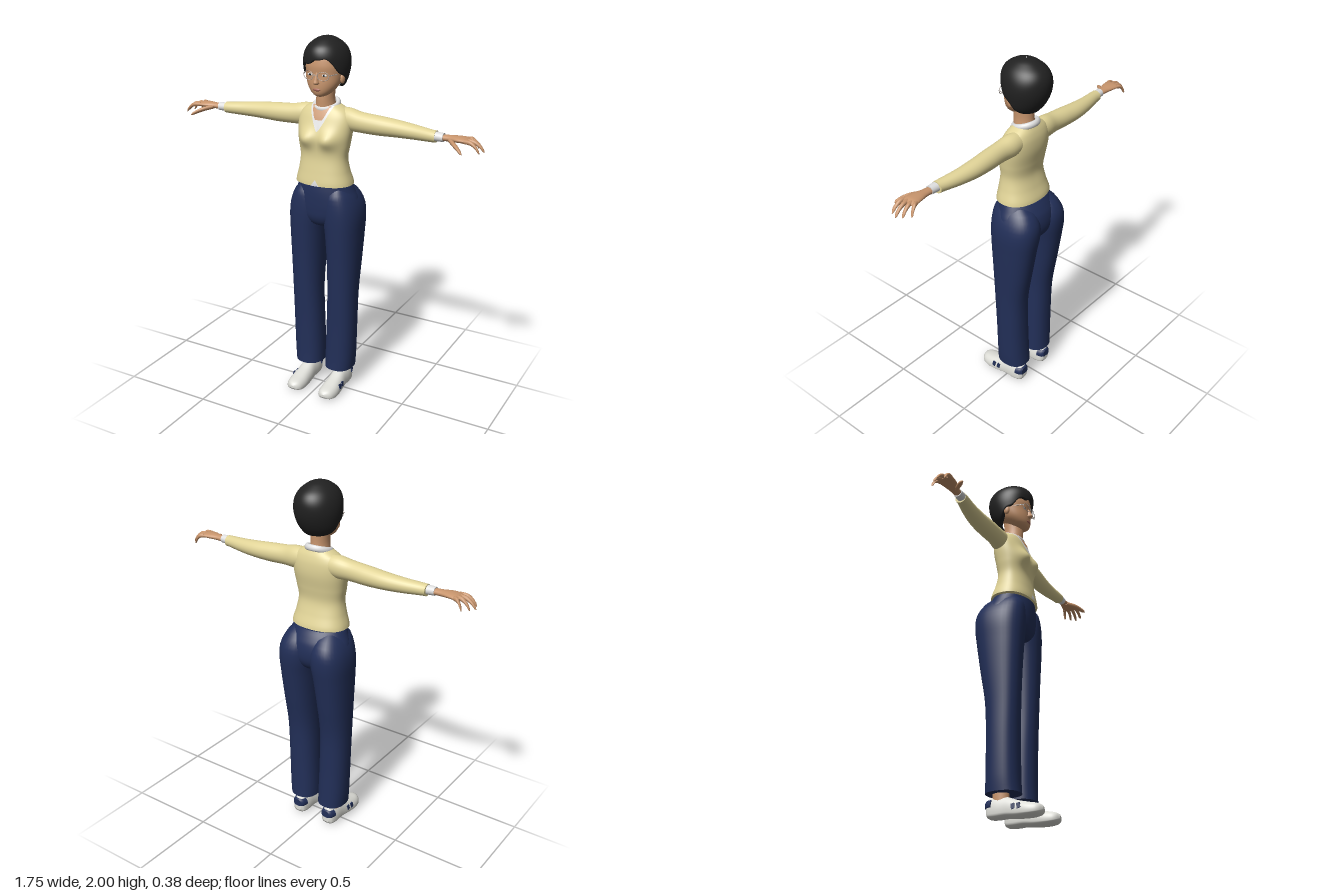
import * as THREE from 'three';

const mat = (name, color) => Object.assign(new THREE.MeshStandardMaterial({ color }), { name });

// Smooth interpolation of rows keyed by their first column
function sample(rows, s) {
  let i = 0;
  while (i < rows.length - 2 && s > rows[i + 1][0]) i++;
  const a = rows[i], b = rows[i + 1], p = rows[i - 1] || a, q = rows[i + 2] || b;
  const h = b[0] - a[0], t = (s - a[0]) / h, t2 = t * t, t3 = t2 * t;
  return a.map((v, k) => {
    if (k === 0) return s;
    const m0 = (b[k] - p[k]) / (b[0] - p[0]), m1 = (q[k] - v) / (q[0] - a[0]);
    return (2 * t3 - 3 * t2 + 1) * v + (t3 - 2 * t2 + t) * h * m0 + (3 * t2 - 2 * t3) * b[k] + (t3 - t2) * h * m1;
  });
}

// Surface from a grid of points; optional ring closing and end caps
function grid(nu, nv, f, closed, caps) {
  const pos = [], idx = [], w = closed ? nv : nv + 1;
  for (let i = 0; i <= nu; i++) for (let j = 0; j < w; j++) pos.push(...f(i / nu, j / nv));
  for (let i = 0; i < nu; i++) for (let j = 0; j < nv; j++) {
    const k = (j + 1) % w, a = i * w + j, b = i * w + k;
    idx.push(a, b, b + w, a, b + w, a + w);
  }
  if (caps) for (const end of [0, 1]) {
    const base = pos.length / 3, c = [0, 0, 0];
    for (let j = 0; j < nv; j++) {
      const p = f(end, j / nv);
      pos.push(...p);
      p.forEach((v, k) => { c[k] += v / nv; });
    }
    pos.push(...c);
    for (let j = 0; j < nv; j++) {
      const a = base + j, b = base + (j + 1) % nv;
      idx.push(base + nv, ...(end ? [a, b] : [b, a]));
    }
  }
  const g = new THREE.BufferGeometry();
  g.setAttribute('position', new THREE.Float32BufferAttribute(pos, 3));
  g.setIndex(idx);
  g.computeVertexNormals();
  return g;
}

const pw = (v, p) => Math.sign(v) * Math.abs(v) ** p;
// Ring rules: upright [y, x0, x1, zFront, zBack], sideways [x, y, z, ry, rz], shoe [z, cx, rx, yLow, yHigh]
const upright = (r, a, p = 1) => [(r[1] + r[2]) / 2 + (r[2] - r[1]) / 2 * pw(Math.sin(a), p), r[0],
  (r[3] + r[4]) / 2 + (r[3] - r[4]) / 2 * pw(Math.cos(a), p)];
const cloth = (r, a) => upright(r, a, 0.87);
const sideways = (r, a) => [r[0], r[1] + r[3] * Math.cos(a), r[2] + r[4] * Math.sin(a)];
const lengthwise = (r, a) => {
  const c = Math.cos(a), mid = r[3] + (r[4] - r[3]) * 0.35;
  return [r[1] - r[2] * pw(Math.sin(a), 0.8), c > 0 ? mid + (r[4] - mid) * c : mid + (mid - r[3]) * pw(c, 0.5), r[0]];
};
const loft = (rows, rule, nu = 24, nv = 32) => grid(nu, nv, (u, v) =>
  rule(sample(rows, rows[0][0] + u * (rows[rows.length - 1][0] - rows[0][0])), v * Math.PI * 2), true, true);
const sym = rows => rows.map(([y, x, f, b]) => [y, -x, x, f, b]);

function mirrored(geo) {
  const g = geo.clone().scale(-1, 1, 1), ix = g.index.array;
  for (let i = 0; i < ix.length; i += 3) [ix[i], ix[i + 1]] = [ix[i + 1], ix[i]];
  g.computeVertexNormals();
  return g;
}

export function createModel() {
  const skin = mat('skin', 0xc8956d), knit = mat('cardigan yellow', 0xe0d397), navy = mat('navy', 0x222f58);
  const black = mat('hair black', 0x212121), white = mat('shirt white', 0xe0e0e0), shoeWhite = mat('shoe white', 0xdedeD8);
  const wire = mat('glasses grey', 0xb4aca6), lipColor = mat('lip brown', 0xa8685a);
  const root = new THREE.Group();
  const add = (name, geo, m) => {
    const mesh = new THREE.Mesh(geo, m);
    mesh.name = name;
    root.add(mesh);
    return mesh;
  };
  const pair = (name, geo, m) => { add(name + 'Left', geo, m); add(name + 'Right', mirrored(geo), m); };
  const blob = (x, y, z, sx, sy, sz) => new THREE.SphereGeometry(1, 20, 14).scale(sx, sy, sz).translate(x, y, z);

  // Cardigan body with a rounded bust
  const torsoRows = sym([[1.228, 0.16, 0.095, -0.13], [1.245, 0.157, 0.094, -0.127], [1.3, 0.142, 0.085, -0.108],
    [1.37, 0.132, 0.075, -0.092], [1.44, 0.142, 0.074, -0.1], [1.52, 0.152, 0.068, -0.113], [1.58, 0.15, 0.05, -0.112],
    [1.62, 0.125, 0.032, -0.102], [1.648, 0.075, 0.015, -0.088]]);
  const torso = (r, a) => {
    const p = cloth(r, a);
    if (Math.cos(a) > 0) p[2] += 0.036 * Math.cos(a) ** 0.5 *
      Math.exp(-(((Math.abs(p[0]) - 0.065) / 0.055) ** 2) - ((p[1] - 1.475) / 0.045) ** 2);
    return p;
  };
  add('cardigan', loft(torsoRows, torso, 48, 64), knit);

  // Thin panels lying on the front of the cardigan
  const panel = (name, y0, y1, width, off, m) => add(name, grid(14, 10, (u, v) => {
    const y = y0 + (y1 - y0) * u, r = sample(torsoRows, y);
    const s = Math.min(0.95, width(u) / r[2]) * (v * 2 - 1);
    const p = torso(r, Math.asin(pw(s, 1 / 0.87)));
    p[2] += off;
    return p;
  }), m);
  panel('shirtFront', 1.515, 1.646, u => 0.066 * u ** 0.8, 0.004, white);
  panel('chestSkin', 1.575, 1.647, u => 0.018 + 0.033 * u ** 0.7, 0.007, skin);
  panel('hemNotch', 1.229, 1.262, u => 0.024 * (1 - u), 0.004, white);
  add('collar', new THREE.TorusGeometry(0.062, 0.013, 10, 40).rotateX(Math.PI / 2).scale(1, 1.3, 1)
    .rotateX(0.3).translate(0, 1.644, -0.034), white);

  // Sleeves, cuffs and hands
  pair('sleeve', loft([[0.05, 1.58, -0.05, 0.05, 0.045], [0.13, 1.575, -0.045, 0.06, 0.052], [0.2, 1.568, -0.038, 0.054, 0.049],
    [0.3, 1.563, -0.04, 0.051, 0.05], [0.4, 1.56, -0.042, 0.045, 0.047], [0.5, 1.557, -0.034, 0.038, 0.04],
    [0.6, 1.555, -0.018, 0.031, 0.033], [0.622, 1.555, -0.017, 0.03, 0.032]], sideways, 32, 28), knit);
  pair('cuff', loft([[0.61, 1.557, -0.013, 0.024, 0.026], [0.664, 1.557, -0.012, 0.022, 0.024]], sideways, 2, 24), white);
  pair('palm', loft([[0.65, 1.556, -0.012, 0.016, 0.021], [0.7, 1.558, -0.012, 0.016, 0.025], [0.74, 1.56, -0.01, 0.016, 0.037],
    [0.785, 1.56, -0.012, 0.013, 0.043], [0.805, 1.558, -0.012, 0.006, 0.036]], sideways, 16, 24), skin);
  for (const [name, z0, z1, tip] of [['index', 0.02, 0.03, 0.862], ['middle', -0.002, -0.006, 0.876],
    ['ring', -0.024, -0.034, 0.858], ['little', -0.043, -0.062, 0.828]]) {
    const L = tip - 0.775, row = (t, y, r) => [0.775 + L * t, y, z0 + (z1 - z0) * t, r * 1.1, r];
    pair(name + 'Finger', loft([row(0, 1.56, 0.01), row(0.45, 1.557, 0.0105), row(0.75, 1.541, 0.009),
      row(0.95, 1.52, 0.007), row(1, 1.513, 0.002)], sideways, 14, 12), skin);
  }
  pair('thumb', loft([[0.695, 1.553, 0, 0.011, 0.014], [0.73, 1.545, 0.035, 0.012, 0.018], [0.76, 1.533, 0.06, 0.011, 0.016],
    [0.785, 1.519, 0.08, 0.008, 0.01], [0.793, 1.514, 0.086, 0.002, 0.002]], sideways, 14, 12), skin);

  // Trousers
  add('trouserHips', loft(sym([[0.985, 0.06, 0.03, -0.1], [1.0, 0.11, 0.06, -0.135], [1.04, 0.175, 0.083, -0.165],
    [1.09, 0.195, 0.09, -0.175], [1.15, 0.182, 0.092, -0.168], [1.19, 0.164, 0.091, -0.15], [1.222, 0.15, 0.088, -0.13]]),
    upright, 28, 48), navy);
  pair('trouserLeg', loft([[0.13, 0.013, 0.174, 0.063, -0.12], [0.2, 0.014, 0.18, 0.06, -0.117], [0.4, 0.021, 0.186, 0.06, -0.114],
    [0.6, 0.027, 0.19, 0.066, -0.12], [0.8, 0.021, 0.198, 0.075, -0.152], [0.95, 0.01, 0.204, 0.084, -0.176],
    [1.05, -0.004, 0.206, 0.089, -0.19], [1.12, 0.0, 0.194, 0.088, -0.185], [1.18, 0.02, 0.165, 0.08, -0.15],
    [1.21, 0.04, 0.14, 0.06, -0.11]], cloth, 40, 36), navy);

  // Ankles and shoes
  pair('ankle', loft([[0.07, 0.065, 0.135, 0.005, -0.085], [0.2, 0.065, 0.135, 0.005, -0.085]], upright, 2, 20), skin);
  pair('shoe', loft([[-0.112, 0.1, 0.02, 0.025, 0.09], [-0.102, 0.1, 0.035, 0.01, 0.11], [-0.06, 0.1, 0.044, 0.004, 0.115],
    [0, 0.1, 0.045, 0.006, 0.11], [0.06, 0.101, 0.05, 0.001, 0.088], [0.12, 0.102, 0.053, 0, 0.072],
    [0.165, 0.101, 0.044, 0.006, 0.062], [0.185, 0.1, 0.026, 0.016, 0.052], [0.192, 0.1, 0.008, 0.026, 0.042]],
    lengthwise, 40, 32), shoeWhite);
  pair('heelPatch', loft([[-0.115, 0.1, 0.026, 0.055, 0.098], [-0.104, 0.1, 0.037, 0.053, 0.104],
    [-0.076, 0.1, 0.0455, 0.053, 0.106]], lengthwise, 8, 24), navy);
  for (const z of [0.048, 0.08]) pair('shoeStripe', new THREE.BoxGeometry(0.008, 0.028, 0.019)
    .rotateX(-0.2).rotateZ(0.12).translate(z > 0.06 ? 0.15 : 0.147, 0.05, z), navy);

  // Neck, head and face
  add('neck', loft(sym([[1.58, 0.062, 0.035, -0.09], [1.64, 0.052, 0.033, -0.083], [1.68, 0.047, 0.034, -0.078],
    [1.76, 0.05, 0.03, -0.08]]), upright, 12, 28), skin);
  add('head', loft(sym([[1.697, 0.018, 0.052, 0.01], [1.704, 0.036, 0.064, -0.015], [1.725, 0.062, 0.073, -0.045],
    [1.76, 0.086, 0.076, -0.08], [1.81, 0.1, 0.074, -0.11], [1.86, 0.105, 0.076, -0.125], [1.92, 0.088, 0.06, -0.11],
    [1.96, 0.05, 0.02, -0.07]]), upright, 32, 40), skin);
  add('nose', loft(sym([[1.762, 0.006, 0.08, 0.06], [1.77, 0.016, 0.097, 0.05], [1.785, 0.012, 0.093, 0.05],
    [1.825, 0.007, 0.076, 0.05]]), upright, 12, 16), skin);
  add('lips', blob(0, 1.737, 0.072, 0.021, 0.008, 0.007), lipColor);
  pair('ear', blob(0.1, 1.79, -0.018, 0.012, 0.028, 0.018), skin);
  pair('eyeWhite', blob(0.04, 1.812, 0.067, 0.016, 0.007, 0.004), white);
  pair('iris', blob(0.04, 1.812, 0.0695, 0.006, 0.006, 0.003), black);

  // Glasses
  pair('lensRim', new THREE.TorusGeometry(0.031, 0.0018, 6, 32).scale(1, 0.72, 1).rotateY(0.2).translate(0.042, 1.81, 0.083), wire);
  pair('temple', new THREE.BoxGeometry(0.003, 0.004, 0.11).rotateY(-0.26).translate(0.088, 1.815, 0.026), wire);
  add('glassesBridge', new THREE.BoxGeometry(0.024, 0.003, 0.003).translate(0, 1.815, 0.09), wire);

  // Short hair: a shell from an uneven hairline up to the crown, with a lip turned in to the head
  const hairRows = sym([[1.72, 0.08, 0.065, -0.095], [1.76, 0.104, 0.075, -0.13], [1.81, 0.117, 0.084, -0.157],
    [1.86, 0.122, 0.092, -0.17], [1.91, 0.114, 0.094, -0.168], [1.95, 0.092, 0.076, -0.145],
    [1.98, 0.056, 0.034, -0.1], [1.992, 0.03, 0, -0.07], [1.997, 0.004, -0.032, -0.04]]);
  const lineRows = [[-3.15, 1.728], [-2.3, 1.735], [-1.8, 1.755], [-1.45, 1.795], [-1.1, 1.815], [-0.8, 1.855], [-0.3, 1.872],
    [0.1, 1.887], [0.45, 1.9], [0.75, 1.862], [1.1, 1.82], [1.45, 1.795], [1.8, 1.755], [2.3, 1.735], [3.15, 1.728]];
  add('hair', grid(30, 72, (u, v) => {
    const a = (v * 2 - 1) * Math.PI;
    const low = sample(lineRows, a)[1] + 0.006 * Math.cos(a * 9) * Math.max(0, Math.cos(a));
    const t = Math.max(0, (u - 1 / 30) * 30 / 29), y = low + (1.997 - low) * Math.sin(t * Math.PI / 2);
    const p = upright(sample(hairRows, y), a);
    if (u === 0) return [p[0] * 0.75, low + 0.004, -0.03 + (p[2] + 0.03) * 0.75];
    return p;
  }, true), black);

  return root;
}
